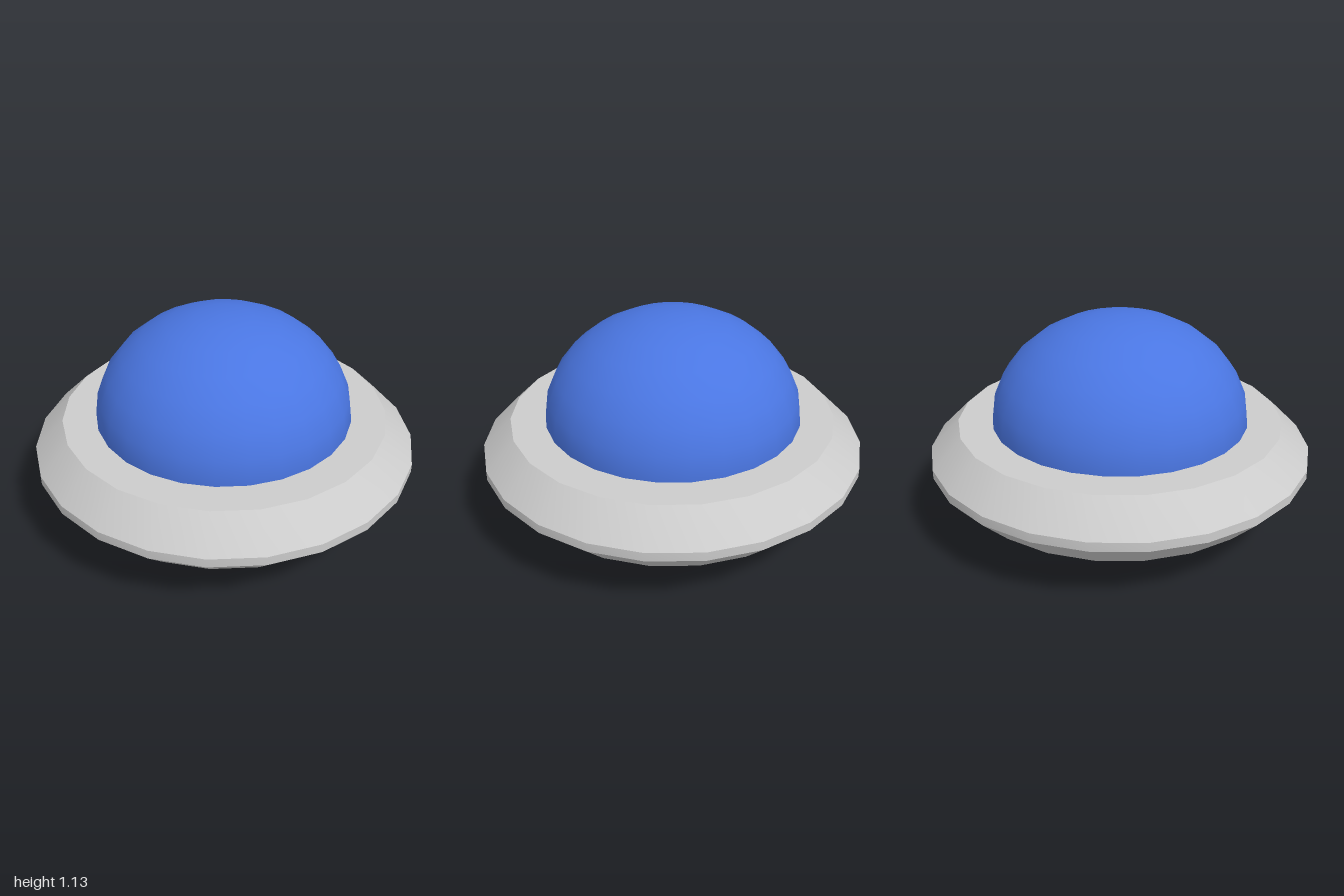
import * as THREE from 'three';
import { toCreasedNormals } from 'three/addons/utils/BufferGeometryUtils.js';

const RAD = Math.PI / 180;

function addPart(group, name, geometry, color) {
  const mesh = new THREE.Mesh(geometry, new THREE.MeshStandardMaterial({ color }));
  mesh.name = name;
  group.add(mesh);
  return mesh;
}

export function createModel() {
  const group = new THREE.Group();
  group.name = 'flyingSaucer';

  // Hull: bevelled 23-sided disc, smooth around, sharp between the bands
  const profile = [[0, 0.215], [0.85, 0.215], [1.002, 0.365], [1.002, 0.412], [0.85, 0.565], [0, 0.565]]
    .map(([r, y]) => new THREE.Vector2(r, y));
  const hull = new THREE.LatheGeometry(profile, 23, -Math.PI / 2);
  addPart(group, 'hull', toCreasedNormals(hull, 30 * RAD), 0xcccccc).position.x = 0.004;

  // Cockpit dome: slightly flattened upper half sphere, its rim sunk into the hull
  const dome = new THREE.SphereGeometry(0.672, 26, 8, 0, Math.PI * 2, 0, Math.PI * 8 / 14);
  dome.scale(1, 0.823, 1);
  addPart(group, 'cockpitDome', dome, 0x4a76e2).position.y = 0.572;

  // Belly light: lower cap of a sphere, its rim sunk into the hull
  const belly = new THREE.SphereGeometry(0.556, 26, 5, 0, Math.PI * 2, Math.PI * 9 / 14, Math.PI * 5 / 14);
  addPart(group, 'bellyLight', belly, 0xd0d23a).position.y = 0.556;

  return group;
}
